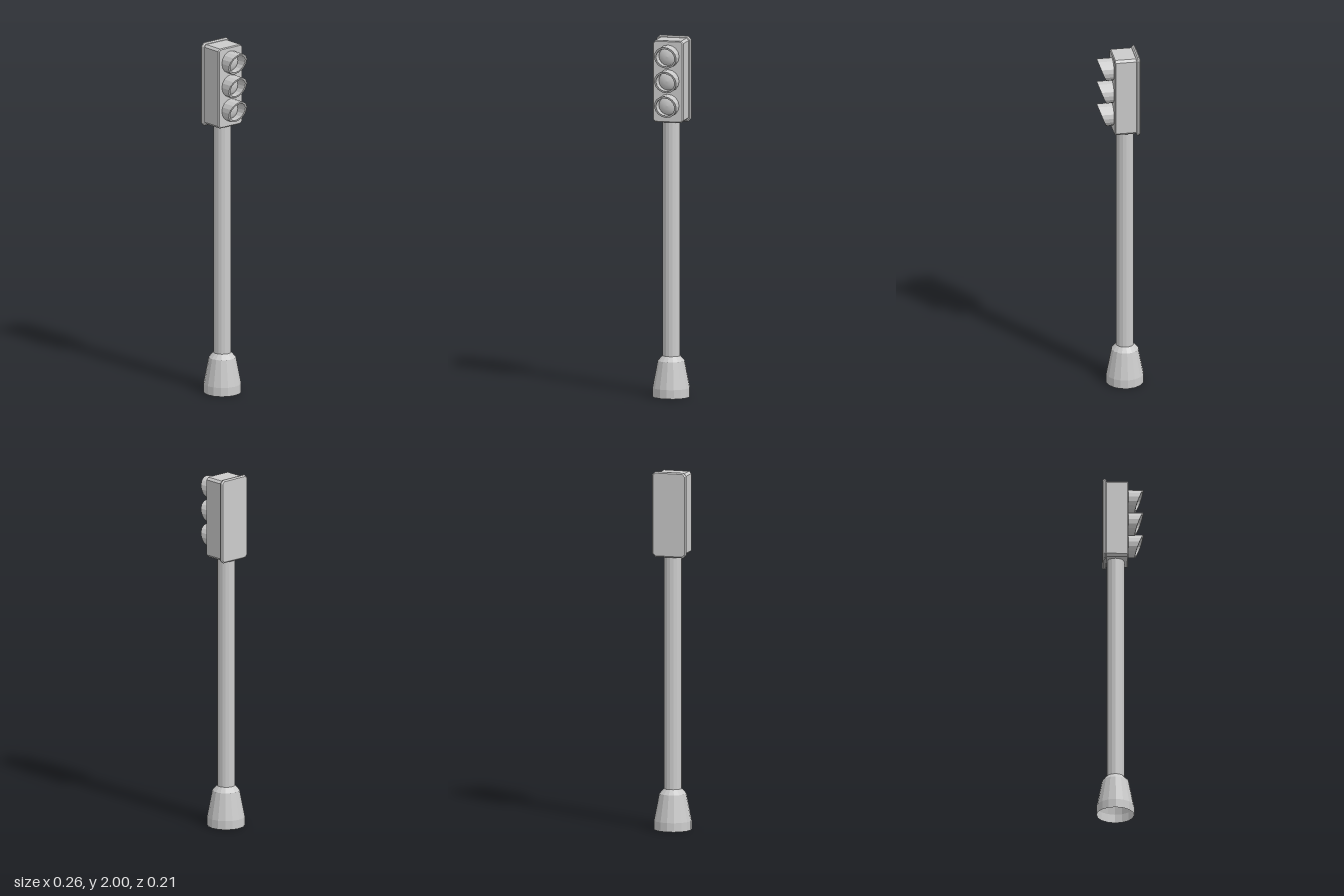
import * as THREE from 'three';

const material = new THREE.MeshStandardMaterial({ color: 0xcccccc, flatShading: true, side: THREE.DoubleSide });
const smooth = new THREE.MeshStandardMaterial({ color: 0xcccccc, side: THREE.DoubleSide });
const SIDES = 16;
const POLE_X = -0.027;

function lathe(points) {
  return new THREE.LatheGeometry(points.map(([r, y]) => new THREE.Vector2(r, y)), SIDES);
}

// Chamfered panel in the y-z plane, extruded along +x from x = x0
function panel(halfZ, halfY, cut, x0, depth, bevel) {
  const a = halfZ - bevel, b = halfY - bevel;
  const shape = new THREE.Shape([
    [a, -b + cut], [a, b - cut], [a - cut, b], [-a + cut, b],
    [-a, b - cut], [-a, -b + cut], [-a + cut, -b], [a - cut, -b],
  ].map(([u, v]) => new THREE.Vector2(u, v)));
  const geo = new THREE.ExtrudeGeometry(shape, {
    depth: depth - 2 * bevel, bevelEnabled: true, bevelSegments: 1,
    bevelSize: bevel, bevelThickness: bevel,
  });
  return geo.translate(0, 0, bevel).rotateY(Math.PI / 2).translate(x0, 1.7625, 0);
}

export function createModel() {
  const group = new THREE.Group();
  const add = (name, geo, mat = material, x = 0, y = 0) => {
    const mesh = new THREE.Mesh(geo, mat);
    mesh.name = name;
    mesh.position.set(x, y, 0);
    group.add(mesh);
  };

  // Flared foot, open underneath, and the pole
  add('base', lathe([[0.104, 0], [0.104, 0.05], [0.075, 0.2], [0.05, 0.228]]), material, POLE_X);
  add('pole', new THREE.CylinderGeometry(0.049, 0.049, 1.34, SIDES, 1, true), material, POLE_X, 0.88);

  // Signal box with its wider back plate
  add('housing', panel(0.086, 0.2275, 0.01, -0.09, 0.133, 0.005));
  add('backPlate', panel(0.098, 0.2375, 0.013, -0.099, 0.022, 0.007));

  // Three lamps facing +x, each with a hood cut on a slant
  for (const [i, y] of [1.63, 1.767, 1.904].entries()) {
    const hood = lathe([[0.063, 0], [0.063, 1], [0.052, 1], [0.052, 0]]).rotateZ(-Math.PI / 2);
    const p = hood.attributes.position;
    for (let k = 0; k < p.count; k++) p.setX(k, p.getX(k) * (0.062 + 0.38 * p.getY(k)));
    hood.computeVertexNormals();
    add('hood' + (i + 1), hood, material, 0.042, y);

    const lens = lathe([[0.052, 0], [0.048, 0.006], [0.036, 0.013], [0.019, 0.018], [0, 0.02]]);
    add('lens' + (i + 1), lens.rotateZ(-Math.PI / 2), smooth, 0.042, y);
  }
  return group;
}
